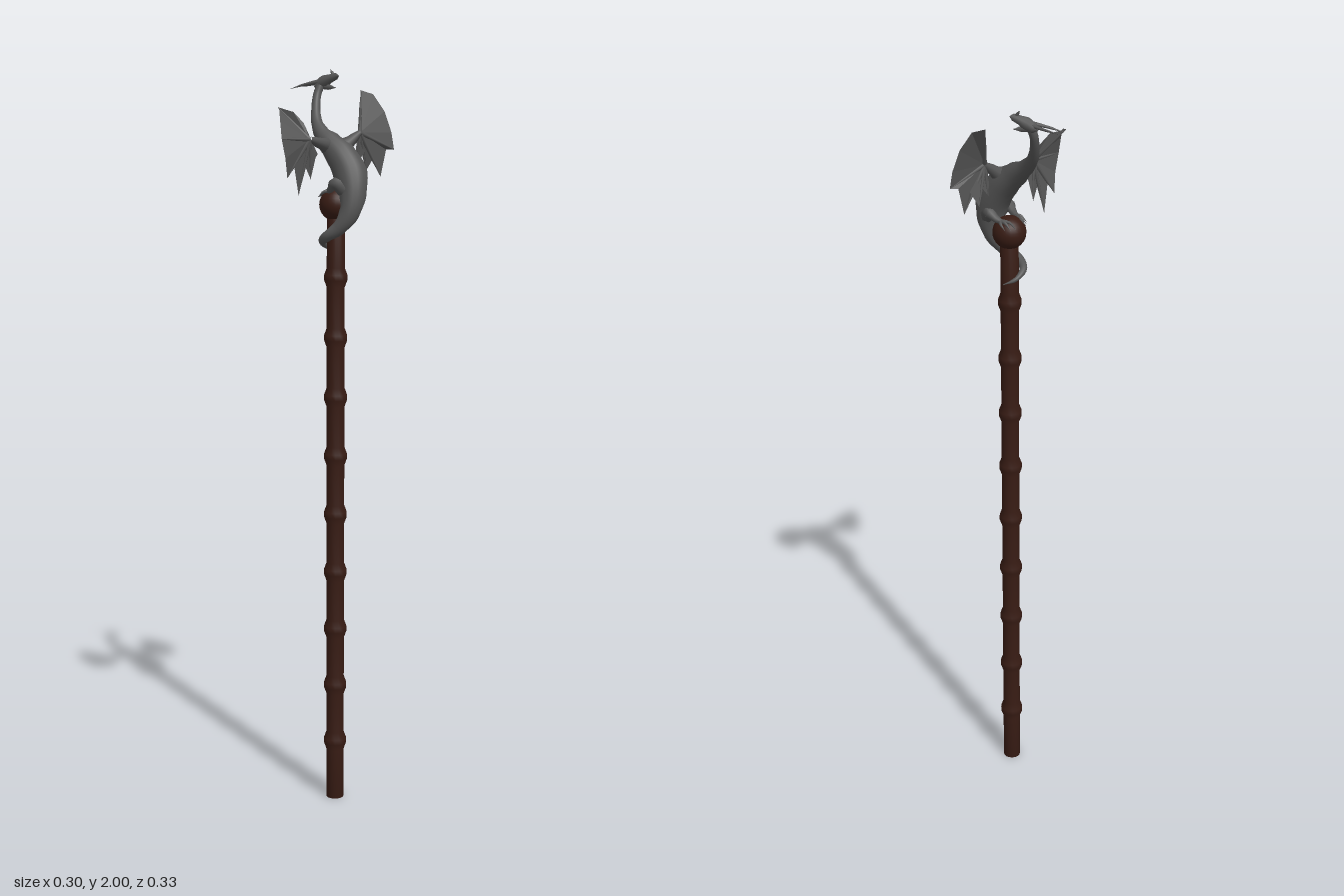
import * as THREE from 'three';

const wood = new THREE.MeshStandardMaterial({ color: 0x381c14 });
const hide = new THREE.MeshStandardMaterial({ color: 0x555555 });
const skin = new THREE.MeshStandardMaterial({ color: 0x555555, side: THREE.DoubleSide, flatShading: true });

// Tapered tube through [x, y, z, radius] stations
function sweep(name, stations, segments = 24, sides = 10) {
  const curve = new THREE.CatmullRomCurve3(stations.map(s => new THREE.Vector3(s[0], s[1], s[2])));
  const geo = new THREE.TubeGeometry(curve, segments, 1, sides);
  const pos = geo.attributes.position, p = new THREE.Vector3(), c = new THREE.Vector3();
  for (let i = 0; i < pos.count; i++) {
    const u = Math.floor(i / (sides + 1)) / segments;
    curve.getPointAt(u, c);
    const t = curve.getUtoTmapping(u) * (stations.length - 1);
    const k = Math.min(Math.floor(t), stations.length - 2);
    const r = THREE.MathUtils.lerp(stations[k][3], stations[k + 1][3], THREE.MathUtils.smoothstep(t - k, 0, 1));
    p.fromBufferAttribute(pos, i).sub(c).multiplyScalar(r).add(c);
    pos.setXYZ(i, p.x, p.y, p.z);
  }
  const mesh = new THREE.Mesh(geo, hide);
  mesh.name = name;
  return mesh;
}

// Arm, membrane fan around the wrist, and thin finger bones to chosen rim points
function wing(name, shoulder, wrist, rim, fingers) {
  const group = new THREE.Group();
  group.name = name;
  const mid = shoulder.map((v, i) => (v + wrist[i]) / 2);
  group.add(sweep('wingArm', [[...shoulder, 0.022], [...mid, 0.014], [...wrist, 0.008]], 10));
  const pts = [];
  rim.forEach((p, i) => pts.push(...wrist, ...p, ...rim[(i + 1) % rim.length]));
  const geo = new THREE.BufferGeometry();
  geo.setAttribute('position', new THREE.Float32BufferAttribute(pts, 3));
  geo.computeVertexNormals();
  const membrane = new THREE.Mesh(geo, skin);
  membrane.name = 'wingMembrane';
  group.add(membrane);
  for (const f of fingers) {
    const m = wrist.map((v, i) => (v + rim[f][i]) / 2);
    group.add(sweep('wingFinger', [[...wrist, 0.006], [...m, 0.004], [...rim[f], 0.0008]], 8, 6));
  }
  return group;
}

export function createModel() {
  const model = new THREE.Group();

  // Staff with evenly spaced knots
  const R = 0.024, profile = [[0.0001, 0], [R, 0]];
  for (let i = 0; i < 9; i++) {
    const y = 0.165 + i * 0.1613;
    profile.push([R, y - 0.026], [0.031, y - 0.007], [0.031, y + 0.007], [R, y + 0.026]);
  }
  profile.push([R, 1.63], [0.0001, 1.63]);
  const staff = new THREE.Mesh(
    new THREE.LatheGeometry(profile.map(p => new THREE.Vector2(p[0], p[1])), 16), wood);
  staff.name = 'staff';
  staff.position.set(0.052, 0, -0.01);
  const ball = new THREE.Mesh(new THREE.SphereGeometry(0.044, 24, 16), wood);
  ball.name = 'staffBall';
  ball.position.set(0.052, 1.648, -0.01);
  model.add(staff, ball);

  const dragon = new THREE.Group();
  dragon.name = 'dragon';
  model.add(dragon);

  // Tail coiled round the staff, then body and neck
  dragon.add(sweep('body', [
    [0.045, 1.515, -0.045, 0.001], [0.02, 1.53, -0.022, 0.006], [0.022, 1.55, 0.01, 0.01],
    [0.055, 1.565, 0.027, 0.014], [0.09, 1.59, 0.014, 0.019], [0.113, 1.63, 0, 0.027],
    [0.115, 1.68, -0.01, 0.036], [0.1, 1.73, -0.015, 0.045], [0.07, 1.773, -0.013, 0.041],
    [0.032, 1.805, -0.01, 0.032], [-0.005, 1.832, -0.014, 0.021], [-0.036, 1.862, -0.025, 0.015],
    [-0.057, 1.9, -0.042, 0.012], [-0.067, 1.935, -0.057, 0.011], [-0.066, 1.957, -0.067, 0.011],
  ], 80, 16));

  // Head: skull with upper jaw, open lower jaw, brow and nose spikes
  dragon.add(sweep('skull', [
    [-0.088, 1.955, -0.066, 0.001], [-0.076, 1.96, -0.069, 0.013], [-0.058, 1.969, -0.074, 0.016],
    [-0.038, 1.978, -0.082, 0.011], [-0.026, 1.982, -0.087, 0.009], [-0.018, 1.983, -0.09, 0.001],
  ], 20));
  dragon.add(sweep('lowerJaw', [
    [-0.068, 1.96, -0.07, 0.01], [-0.048, 1.955, -0.078, 0.008], [-0.026, 1.952, -0.087, 0.001],
  ], 10, 8));
  dragon.add(sweep('noseSpike', [
    [-0.034, 1.983, -0.085, 0.006], [-0.038, 1.992, -0.084, 0.004], [-0.043, 2.0, -0.082, 0.0005],
  ], 6, 6));
  for (const [tip, z] of [[[-0.148, 1.956, -0.06], -0.075], [[-0.136, 1.95, -0.024], -0.062]]) {
    const m = [(tip[0] - 0.07) / 2, 1.961, (tip[2] + z) / 2];
    dragon.add(sweep('horn', [[-0.07, 1.968, z, 0.006], [...m, 0.0035], [...tip, 0.0005]], 8, 6));
  }

  // Wings
  dragon.add(wing('leftWing', [0.04, 1.8, 0.005], [0.048, 1.818, 0.082], [
    [0.045, 1.78, 0.05], [0.032, 1.86, 0.088], [0.015, 1.888, 0.108], [-0.02, 1.9, 0.13],
    [0.004, 1.893, 0.148], [0.02, 1.865, 0.16], [0.032, 1.82, 0.166], [0.034, 1.77, 0.155],
    [0.025, 1.72, 0.14], [0.035, 1.75, 0.125], [0.03, 1.675, 0.105], [0.042, 1.745, 0.09],
    [0.035, 1.715, 0.066], [0.045, 1.77, 0.058],
  ], [3, 6, 8, 10, 12]));
  dragon.add(wing('rightWing', [0.07, 1.8, -0.025], [0.085, 1.835, -0.066], [
    [0.08, 1.785, -0.055], [0.08, 1.875, -0.07], [0.064, 1.922, -0.09], [0.04, 1.945, -0.115],
    [0.07, 1.935, -0.13], [0.092, 1.89, -0.152], [0.108, 1.835, -0.162], [0.115, 1.79, -0.165],
    [0.1, 1.79, -0.15], [0.095, 1.72, -0.135], [0.09, 1.775, -0.118], [0.075, 1.735, -0.1],
    [0.085, 1.785, -0.085], [0.075, 1.755, -0.065],
  ], [3, 7, 9, 11, 13]));

  // Legs reaching from the hips to grip the ball, three claws each
  for (const s of [1, -1]) {
    const z = d => -0.01 + s * d;
    dragon.add(sweep(s > 0 ? 'leftLeg' : 'rightLeg', [
      [0.105, 1.69, z(0.02), 0.022], [0.088, 1.705, z(0.038), 0.016],
      [0.068, 1.69, z(0.034), 0.01], [0.055, 1.684, z(0.03), 0.007],
    ], 14, 8));
    for (const d of [-1, 0, 1]) {
      dragon.add(sweep('claw', [
        [0.057, 1.685, z(0.03), 0.006], [0.04 + d * 0.008, 1.682, z(0.03 + d * 0.01), 0.004],
        [0.022 + d * 0.008, 1.668, z(0.032 + d * 0.012), 0.0005],
      ], 6, 6));
    }
  }
  return model;
}
